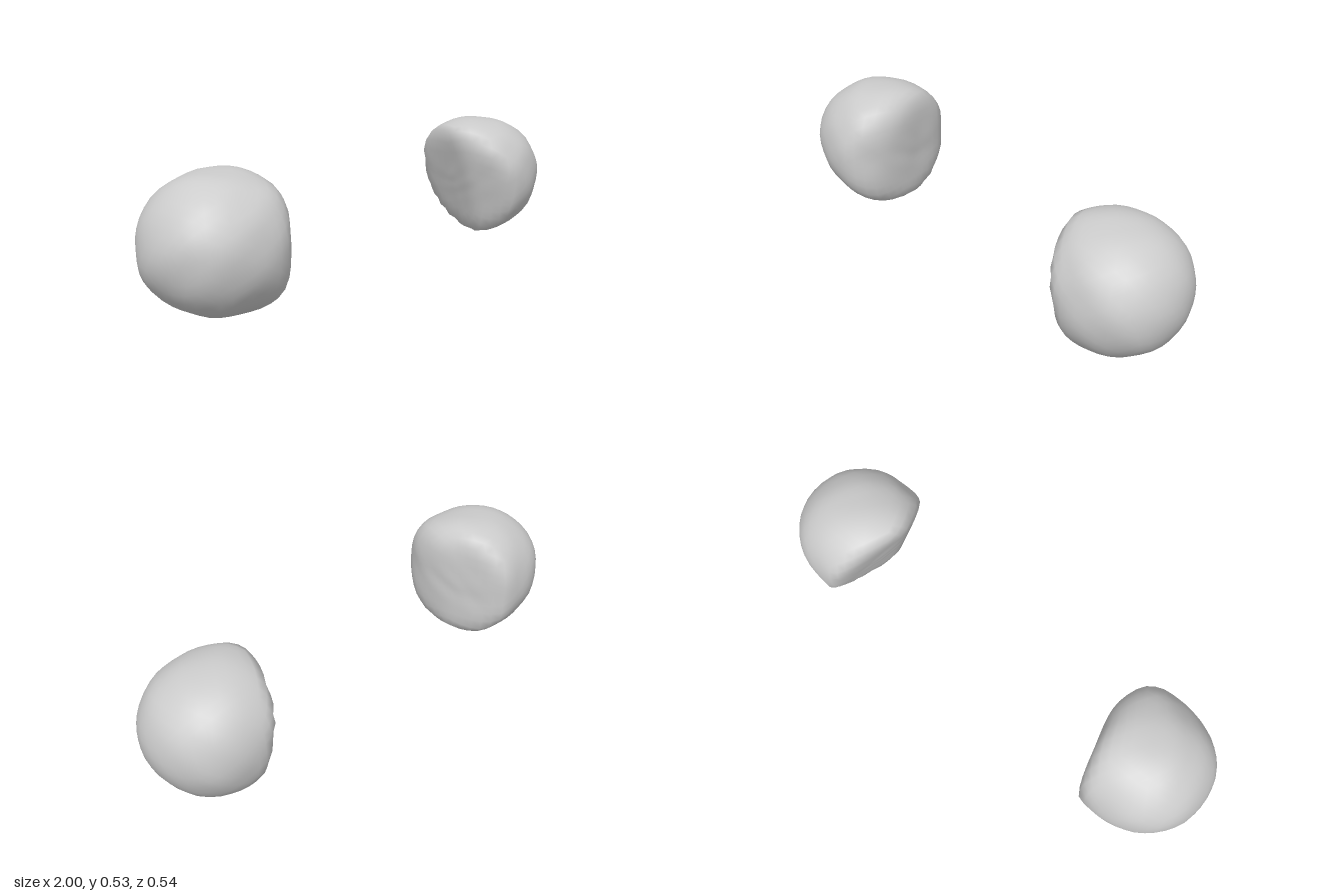
import * as THREE from 'three';
import { mergeVertices } from 'three/addons/utils/BufferGeometryUtils.js';

// Gentle lumps over the stone surface
const lumps = (d, s) =>
  0.012 * Math.sin(5 * d.x + 3 * d.y + s) * Math.cos(4 * d.z - 2 * d.y + s) +
  0.009 * Math.sin(9 * d.y - 6 * d.z + 2 * s) * Math.cos(8 * d.x + s);

// Rounded stone, broken off along planes that blend softly into each other.
// Each cut is [normal, point on the plane].
function brokenStone({ name, center, radii, cuts, seed }) {
  const c = new THREE.Vector3(...center);
  const planes = cuts.map(([normal, point]) => {
    const n = new THREE.Vector3(...normal).normalize();
    return { n, distance: n.dot(new THREE.Vector3(...point).sub(c)) };
  });

  let geo = new THREE.IcosahedronGeometry(1, 7);
  geo.deleteAttribute('normal');
  geo.deleteAttribute('uv');
  geo = mergeVertices(geo, 1e-4);

  const pos = geo.attributes.position;
  const d = new THREE.Vector3();
  const p = 2.15, rim = 13;
  for (let i = 0; i < pos.count; i++) {
    d.fromBufferAttribute(pos, i).normalize();
    const round = Math.pow(
      Math.abs(d.x / radii[0]) ** p + Math.abs(d.y / radii[1]) ** p + Math.abs(d.z / radii[2]) ** p, -1 / p);
    let sum = round ** -rim;
    for (const { n, distance } of planes) sum += (Math.max(d.dot(n), 0) / distance) ** rim;
    const r = sum ** (-1 / rim);
    d.multiplyScalar(r * (1 + lumps(d, seed))).add(c);
    pos.setXYZ(i, d.x, d.y, d.z);
  }
  geo.computeVertexNormals();

  const mesh = new THREE.Mesh(geo, new THREE.MeshStandardMaterial({ color: 0xcccccc }));
  mesh.name = name;
  return mesh;
}

export function createModel() {
  const group = new THREE.Group();
  group.name = 'splitStone';

  // Fuller half: nearly upright broken face, worn at the back, front and top
  group.add(brokenStone({
    name: 'rightStoneHalf',
    center: [-0.69, 0.264, 0], radii: [0.31, 0.261, 0.27], seed: 1.3,
    cuts: [
      [[1, -0.1, 0], [-0.52, 0.3, 0.05]],
      [[0.95, 0, -0.3], [-0.53, 0.3, 0]],
      [[0.9, 0, 0.45], [-0.53, 0.3, 0.15]],
      [[0.85, 0.5, 0], [-0.535, 0.46, 0]],
    ],
  }));

  // Smaller half: broken face leaning down, folded between back and front
  group.add(brokenStone({
    name: 'leftStoneHalf',
    center: [0.71, 0.272, 0.005], radii: [0.29, 0.253, 0.26], seed: 4.1,
    cuts: [
      [[-0.9, -0.27, -0.22], [0.575, 0.43, -0.08]],
      [[-0.9, -0.25, 0.3], [0.605, 0.25, 0.12]],
    ],
  }));

  return group;
}
